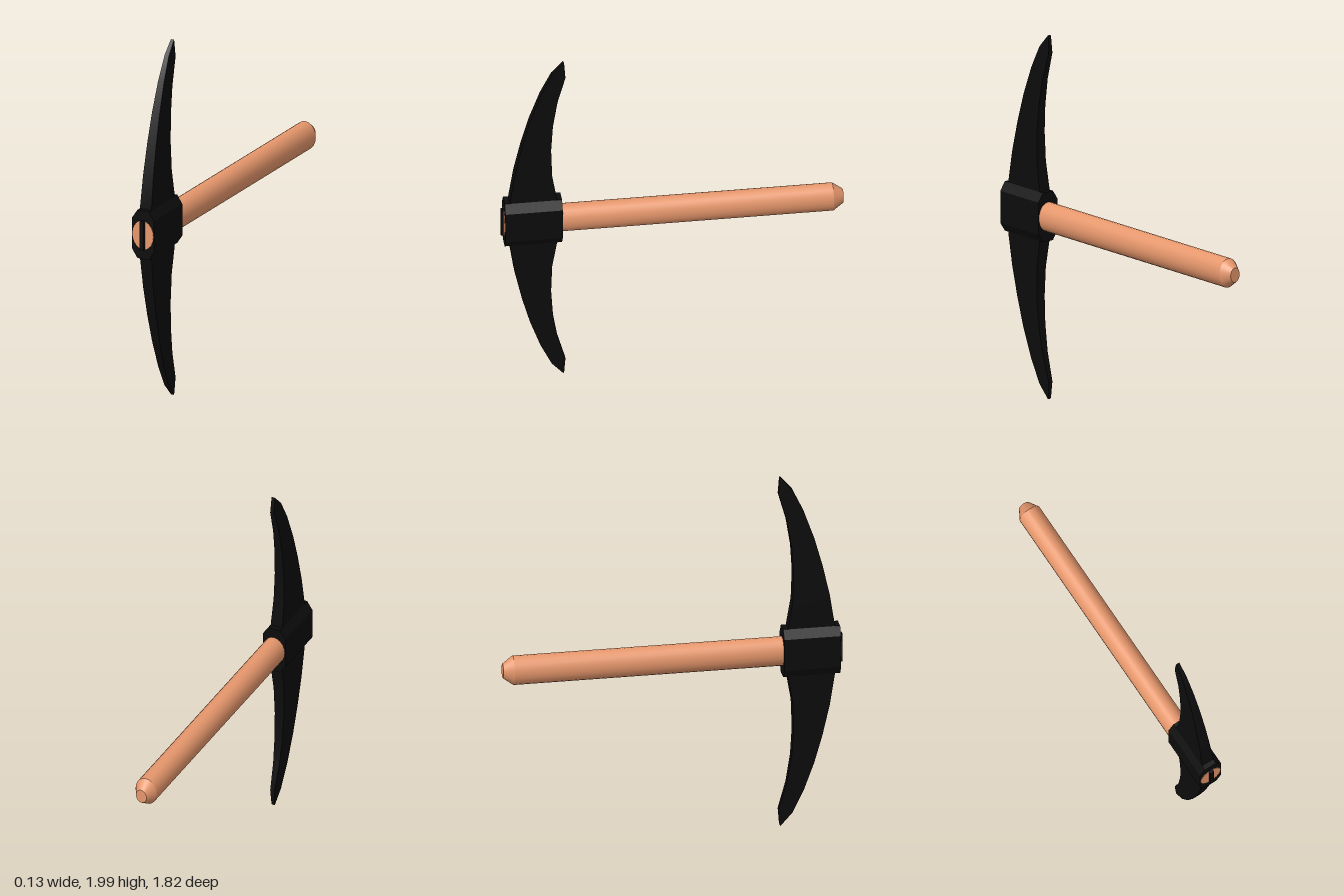
import * as THREE from 'three';
import { toCreasedNormals } from 'three/addons/utils/BufferGeometryUtils.js';

const iron = new THREE.MeshStandardMaterial({ color: 0x0c0c0c });
const wood = new THREE.MeshStandardMaterial({ color: 0xe6976c });
const MID = 1.005; // height of the handle axis

function add(group, name, geometry, material) {
  const mesh = new THREE.Mesh(geometry, material);
  mesh.name = name;
  group.add(mesh);
  return mesh;
}

// Curved blade: rectangular sections joined from the bottom tip to the top tip
function bladeGeometry() {
  // outer y, outer z, inner y, inner z, half thickness (heights above the middle)
  const half = [
    [0.14, 0.865, 0.14, 0.615, 0.035],
    [0.315, 0.838, 0.29, 0.64, 0.031],
    [0.485, 0.80, 0.45, 0.645, 0.027],
    [0.64, 0.757, 0.60, 0.635, 0.023],
    [0.80, 0.70, 0.75, 0.61, 0.018],
    [0.925, 0.64, 0.90, 0.567, 0.013],
    [0.997, 0.577, 0.985, 0.573, 0.009],
  ];
  const lower = half.map(([a, b, c, d, t]) => [-a, b, -c, d, t]).reverse();
  const positions = [], index = [];
  const sections = [...lower, ...half];
  for (const [yo, zo, yi, zi, t] of sections) {
    positions.push(t, MID + yo, zo, t, MID + yi, zi, -t, MID + yi, zi, -t, MID + yo, zo);
  }
  for (let s = 0; s < sections.length - 1; s++) {
    for (let k = 0; k < 4; k++) {
      const a = s * 4 + k, b = s * 4 + (k + 1) % 4;
      index.push(a, b, b + 4, a, b + 4, a + 4);
    }
  }
  const e = (sections.length - 1) * 4;
  index.push(0, 2, 1, 0, 3, 2, e, e + 1, e + 2, e, e + 2, e + 3);
  const g = new THREE.BufferGeometry();
  g.setAttribute('position', new THREE.Float32BufferAttribute(positions, 3));
  g.setIndex(index);
  return toCreasedNormals(g, 0.5);
}

// Eight-sided collar, extruded along the handle
function collarGeometry() {
  const shape = new THREE.Shape([
    [0.035, -0.135], [0.066, -0.088], [0.066, 0.088], [0.035, 0.135],
    [-0.035, 0.135], [-0.066, 0.088], [-0.066, -0.088], [-0.035, -0.135],
  ].map(([x, y]) => new THREE.Vector2(x, y)));
  return new THREE.ExtrudeGeometry(shape, { depth: 0.305, bevelEnabled: false })
    .translate(0, MID, 0.588);
}

// Oval handle with a chamfered butt
function handleGeometry() {
  const profile = [[0, -0.91], [0.5, -0.91], [1, -0.855], [1, 0.896], [0, 0.896]]
    .map(([r, z]) => new THREE.Vector2(r, z));
  const g = new THREE.LatheGeometry(profile, 20)
    .rotateX(Math.PI / 2).scale(0.063, 0.08, 1).translate(0, MID, 0);
  return toCreasedNormals(g, 0.5);
}

export function createModel() {
  const model = new THREE.Group();
  model.name = 'pickaxe';
  add(model, 'handle', handleGeometry(), wood);
  add(model, 'blade', bladeGeometry(), iron);
  add(model, 'collar', collarGeometry(), iron);
  // Thin wedge driven into the head end of the handle
  add(model, 'wedge', new THREE.BoxGeometry(0.024, 0.16, 0.06), iron)
    .position.set(0, MID, 0.88);
  return model;
}
